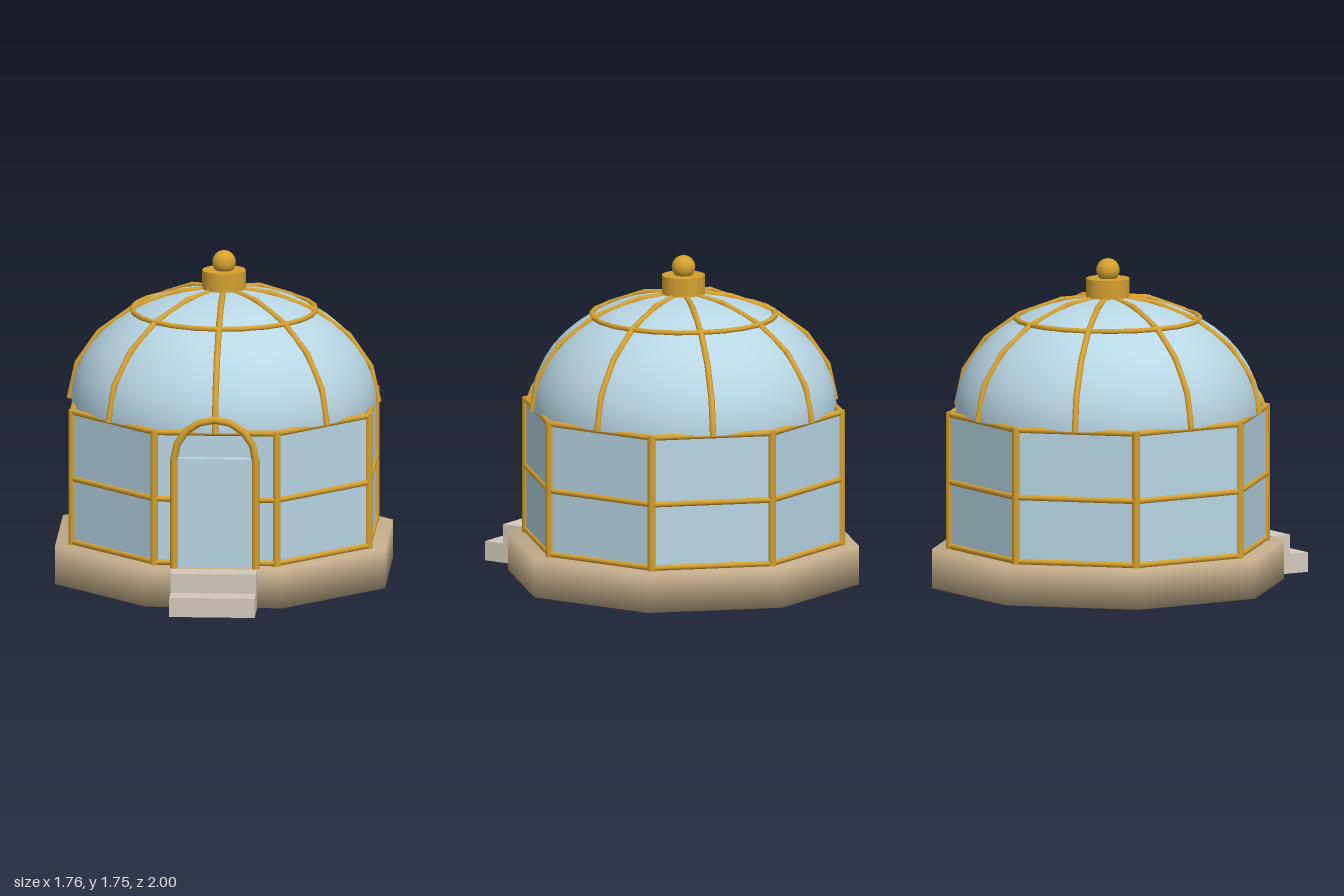
import * as THREE from 'three';
import { mergeVertices } from 'three/addons/utils/BufferGeometryUtils.js';

export function createModel() {
  const glass = new THREE.MeshStandardMaterial({ name: 'paleBlueGlass', color: 0xb8d6e4, side: THREE.DoubleSide });
  const flatGlass = glass;
  const brass = new THREE.MeshStandardMaterial({ name: 'brass', color: 0xd4a030 });
  const stone = new THREE.MeshStandardMaterial({ name: 'tanStone', color: 0xc4ad8c });
  const paleStone = new THREE.MeshStandardMaterial({ name: 'paleStone', color: 0xd4cabb });

  const model = new THREE.Group();
  model.name = 'domedGlasshouse';
  const house = new THREE.Group();
  house.name = 'house';
  house.position.z = -0.12;
  model.add(house);

  const add = (parent, name, geometry, material, x = 0, y = 0, z = 0) => {
    const mesh = new THREE.Mesh(geometry, material);
    mesh.name = name;
    mesh.position.set(x, y, z);
    parent.add(mesh);
    return mesh;
  };

  // round bar between two points
  const bar = (parent, name, a, b, r) => {
    const dir = b.clone().sub(a);
    const mesh = add(parent, name, new THREE.CylinderGeometry(r, r, dir.length(), 10), brass);
    mesh.position.copy(a).add(b).multiplyScalar(0.5);
    mesh.quaternion.setFromUnitVectors(new THREE.Vector3(0, 1, 0), dir.normalize());
  };

  // tube through points joined by straight segments
  const bentTube = (points, r) => {
    const path = new THREE.CurvePath();
    for (let i = 1; i < points.length; i++) path.add(new THREE.LineCurve3(points[i - 1], points[i]));
    // sample exactly at the joints
    path.getPointAt = (t, target = new THREE.Vector3()) => {
      const s = t * (points.length - 1);
      const i = Math.min(Math.floor(s + 1e-6), points.length - 2);
      return target.copy(points[i]).lerp(points[i + 1], s - i);
    };
    return new THREE.TubeGeometry(path, points.length - 1, r, 8, false);
  };

  // octagonal plinth with softened shading
  const C = Math.cos(Math.PI / 8);
  let plinth = new THREE.CylinderGeometry(0.88 / C, 0.88 / C, 0.21, 8);
  plinth.rotateY(Math.PI / 8);
  plinth.deleteAttribute('normal');
  plinth.deleteAttribute('uv');
  plinth = mergeVertices(plinth);
  plinth.computeVertexNormals();
  add(house, 'plinth', plinth, stone, 0, 0.105, 0);

  // octagonal walls: panes, posts and rails
  const R = 0.79 / C;
  const corner = (k, y) => {
    const a = Math.PI / 8 + (k * Math.PI) / 4;
    return new THREE.Vector3(R * Math.sin(a), y, R * Math.cos(a));
  };
  for (let k = 0; k < 8; k++) {
    const a = (k * Math.PI) / 4;
    const pane = add(house, 'wallPane', new THREE.BoxGeometry(0.64, 0.725, 0.012), flatGlass,
      0.787 * Math.sin(a), 0.5725, 0.787 * Math.cos(a));
    pane.rotation.y = a;
    bar(house, 'wallPost', corner(k, 0.21), corner(k, 0.945), 0.021);
    for (const y of [0.225, 0.57, 0.933]) bar(house, 'wallRail', corner(k, y), corner(k + 1, y), 0.016);
  }

  // flattened hemispherical roof
  const domeY = 0.935;
  const dome = new THREE.SphereGeometry(0.815, 32, 12, 0, Math.PI * 2, 0, Math.PI / 2);
  dome.scale(1, 0.61 / 0.815, 1);
  add(house, 'glassDome', dome, glass, 0, domeY, 0);

  // dome ribs and ring
  const ribPoints = [];
  for (let i = 0; i <= 5; i++) {
    const t = (i * Math.PI) / 10;
    ribPoints.push(new THREE.Vector3(0.823 * Math.cos(t), 0.614 * Math.sin(t), 0));
  }
  const ribGeometry = bentTube(ribPoints, 0.017);
  for (let k = 0; k < 8; k++) {
    add(house, 'domeRib', ribGeometry, brass, 0, domeY, 0).rotation.y = (k * Math.PI) / 4;
  }
  const ring = new THREE.TorusGeometry(0.49, 0.014, 8, 24);
  ring.rotateX(Math.PI / 2);
  add(house, 'domeRing', ring, brass, 0, 1.43, 0);

  // finial
  add(house, 'finialCollar', new THREE.CylinderGeometry(0.116, 0.116, 0.1, 24), brass, 0, 1.595, 0);
  add(house, 'finialBall', new THREE.SphereGeometry(0.063, 20, 14), brass, 0, 1.688, 0);

  // door and arched frame
  add(model, 'doorPane', new THREE.BoxGeometry(0.41, 0.59, 0.06), flatGlass, 0, 0.505, 0.685);
  const archPoints = [];
  for (let i = 0; i <= 8; i++) {
    const t = (i * Math.PI) / 8;
    archPoints.push(new THREE.Vector3(0.218 * Math.cos(t), 0.8 + 0.218 * Math.sin(t), 0.737));
  }
  add(model, 'doorArch', bentTube(archPoints, 0.02), brass);
  for (const s of [-1, 1]) {
    bar(model, 'doorPost', new THREE.Vector3(s * 0.218, 0.21, 0.737), new THREE.Vector3(s * 0.218, 0.805, 0.737), 0.02);
  }

  // entrance steps
  add(model, 'lowerStep', new THREE.BoxGeometry(0.455, 0.105, 0.23), paleStone, 0, 0.0525, 0.885);
  add(model, 'upperStep', new THREE.BoxGeometry(0.455, 0.105, 0.115), paleStone, 0, 0.1575, 0.8275);

  return model;
}
